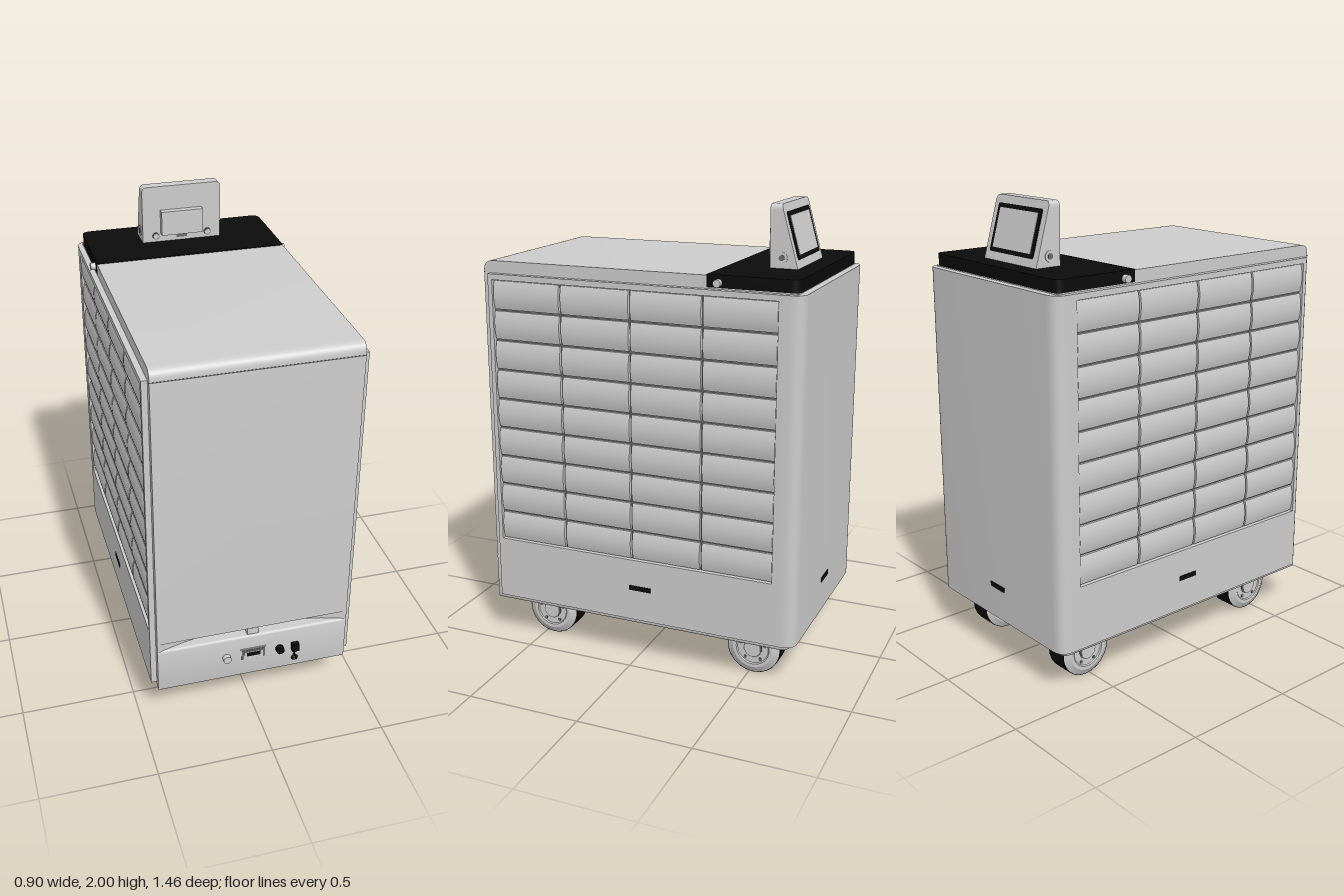
import * as THREE from 'three';
import { toCreasedNormals } from 'three/addons/utils/BufferGeometryUtils.js';

const material = (name, color) => {
  const m = new THREE.MeshStandardMaterial({ color });
  m.name = name;
  return m;
};

// Extrude a shape with smooth curves and sharp corners
function extrude(shape, depth, bevel = 0) {
  const g = new THREE.ExtrudeGeometry(shape, {
    depth: depth - 2 * bevel, curveSegments: 8, bevelEnabled: bevel > 0,
    bevelSize: bevel, bevelThickness: bevel, bevelOffset: -bevel, bevelSegments: 3,
  });
  g.translate(0, 0, bevel);
  return toCreasedNormals(g, 0.6);
}
// Shape drawn in (x, z), raised from y0 to y1
const extrudeY = (shape, y0, y1, bevel) =>
  extrude(shape, y1 - y0, bevel).rotateX(Math.PI / 2).translate(0, y1, 0);
// Shape drawn in (z, y), spanning x0 to x1
const extrudeX = (shape, x0, x1, bevel) =>
  extrude(shape, x1 - x0, bevel).rotateY(-Math.PI / 2).translate(x1, 0, 0);

// Rectangle with a radius for each corner: low-left, low-right, top-right, top-left
function rect(x0, y0, x1, y1, [a, b, c, d] = [0, 0, 0, 0], Type = THREE.Shape) {
  const s = new Type();
  s.moveTo(x0 + a, y0);
  s.lineTo(x1 - b, y0);
  if (b) s.quadraticCurveTo(x1, y0, x1, y0 + b);
  s.lineTo(x1, y1 - c);
  if (c) s.quadraticCurveTo(x1, y1, x1 - c, y1);
  s.lineTo(x0 + d, y1);
  if (d) s.quadraticCurveTo(x0, y1, x0, y1 - d);
  s.lineTo(x0, y0 + a);
  if (a) s.quadraticCurveTo(x0, y0, x0 + a, y0);
  return s;
}

export function createModel() {
  const root = new THREE.Group();
  root.name = 'drawerTrolley';
  const grey = material('light grey', 0xcccccc);
  const dark = material('shadow grey', 0x6a6a6a);
  const black = material('black', 0x0b0b0b);

  const add = (name, geometry, mat, parent = root, pos = [0, 0, 0]) => {
    const m = new THREE.Mesh(geometry, mat);
    m.name = name;
    m.position.set(...pos);
    parent.add(m);
    return m;
  };
  const box = (name, size, pos, mat, parent) =>
    add(name, new THREE.BoxGeometry(...size), mat, parent, pos);
  const disc = (name, r, len, pos, axis, mat, parent) => {
    const g = new THREE.CylinderGeometry(r, r, len, 24);
    if (axis === 'x') g.rotateZ(Math.PI / 2);
    if (axis === 'z') g.rotateX(Math.PI / 2);
    return add(name, g, mat, parent, pos);
  };

  // Cabinet core, stepped down at the back for the black lid
  const core = new THREE.Shape();
  core.moveTo(-0.7, 0.43);
  core.lineTo(0.7, 0.43);
  core.lineTo(0.7, 1.695);
  core.quadraticCurveTo(0.7, 1.738, 0.657, 1.738);
  core.lineTo(-0.32, 1.738);
  core.lineTo(-0.32, 1.69);
  core.lineTo(-0.7, 1.69);
  core.closePath();
  add('cabinet', extrudeX(core, -0.425, 0.425), grey);
  add('rearLid', extrudeY(rect(-0.425, -0.705, 0.425, -0.32, [0.04, 0.04, 0, 0]), 1.69, 1.742), black);
  box('lidSeam', [0.852, 0.004, 0.004], [0, 1.688, 0.6995], dark);

  // Hollow base and the scooped grip above its front
  const base = rect(-0.425, -0.7, 0.425, 0.7, [0.05, 0.05, 0, 0]);
  base.holes.push(rect(-0.4, -0.675, 0.4, 0.675, undefined, THREE.Path));
  add('base', extrudeY(base, 0.17, 0.39, 0.012), grey);
  const grip = new THREE.Shape();
  grip.moveTo(-0.425, -0.69);
  grip.lineTo(0.425, -0.69);
  grip.lineTo(0.425, 0.7);
  grip.quadraticCurveTo(0, 0.56, -0.425, 0.7);
  grip.closePath();
  add('gripRecess', extrudeY(grip, 0.385, 0.431), grey);
  box('gripLatch', [0.05, 0.035, 0.06], [0, 0.403, 0.66], grey);

  // Outer shell: back with wrapped corners
  const shell = new THREE.Shape();
  shell.moveTo(0.45, -0.63);
  shell.lineTo(0.45, -0.67);
  shell.quadraticCurveTo(0.45, -0.73, 0.39, -0.73);
  shell.lineTo(-0.39, -0.73);
  shell.quadraticCurveTo(-0.45, -0.73, -0.45, -0.67);
  shell.lineTo(-0.45, -0.63);
  shell.lineTo(-0.42, -0.63);
  shell.lineTo(-0.42, -0.69);
  shell.lineTo(0.42, -0.69);
  shell.lineTo(0.42, -0.63);
  shell.closePath();
  add('backShell', extrudeY(shell, 0.2, 1.685), grey);
  box('backSlot', [0.1, 0.022, 0.006], [0, 0.35, -0.73], black);

  // One drawer front, gently bulged
  const pitchZ = 0.32, pitchY = 1.18 / 9;
  const bulge = new THREE.Shape();
  bulge.moveTo(0, 0.004);
  bulge.lineTo(0.012, 0.004);
  bulge.quadraticCurveTo(0.032, pitchY / 2, 0.012, pitchY - 0.004);
  bulge.lineTo(0, pitchY - 0.004);
  bulge.closePath();
  const drawer = extrude(bulge, pitchZ - 0.009).translate(0, 0, -(pitchZ - 0.009) / 2);

  for (const s of [1, -1]) {
    const side = new THREE.Group();
    side.name = s > 0 ? 'leftSide' : 'rightSide';
    root.add(side);

    // Side frame around the drawers
    const frame = rect(-0.63, 0.2, 0.67, 1.685);
    frame.holes.push(rect(-0.63 + 0.002, 0.48, 0.65, 1.66, undefined, THREE.Path));
    const x0 = s > 0 ? 0.42 : -0.45;
    add('sideFrame', extrudeX(frame, x0, x0 + 0.03), grey, side);
    box('drawerBacking', [0.006, 1.18, 1.28], [s * 0.425, 1.07, 0.01], dark, side);
    for (let c = 0; c < 4; c++) {
      for (let r = 0; r < 9; r++) {
        const d = add('drawer', drawer, grey, side,
          [s * 0.426, 0.48 + r * pitchY, 0.49 - c * pitchZ]);
        if (s < 0) d.rotation.y = Math.PI;
      }
    }
    // Slot seen on both faces of the wall, lid pin and corner buttons
    box('sideSlot', [0.006, 0.022, 0.1], [s * 0.449, 0.35, -0.03], black, side);
    box('innerSlot', [0.006, 0.03, 0.1], [s * 0.4, 0.33, -0.03], black, side);
    disc('lidPin', 0.016, 0.03, [s * 0.432, 1.71, -0.37], 'x', grey, side);
  }

  // Front controls
  disc('roundButton', 0.018, 0.03, [-0.12, 0.29, 0.705], 'z', grey);
  box('meterBezel', [0.115, 0.06, 0.008], [0, 0.29, 0.7], grey);
  box('meterEdge', [0.105, 0.05, 0.008], [0, 0.29, 0.702], dark);
  box('meterFace', [0.085, 0.038, 0.008], [0, 0.286, 0.704], grey);
  box('meterWindow', [0.06, 0.018, 0.008], [0, 0.292, 0.706], black);
  disc('blackButton', 0.018, 0.034, [0.12, 0.29, 0.706], 'z', black);
  box('socket', [0.032, 0.038, 0.034], [0.19, 0.29, 0.706], black);
  const cord = new THREE.CatmullRomCurve3([[0.19, 0.275, 0.712], [0.185, 0.255, 0.715], [0.19, 0.235, 0.708]]
    .map(p => new THREE.Vector3(...p)));
  add('capCord', new THREE.TubeGeometry(cord, 10, 0.004, 6), black);
  add('cordCap', new THREE.TorusGeometry(0.01, 0.005, 8, 16), black, root, [0.19, 0.225, 0.706]);

  // Tablet stand: wedge with a sloping screen at the back
  const stand = new THREE.Group();
  stand.name = 'tabletStand';
  root.add(stand);
  const wedgeGeo = extrude(rect(-0.18, 1.738, 0.18, 2, [0, 0, 0.025, 0.025]), 1);
  const p = wedgeGeo.attributes.position;
  for (let i = 0; i < p.count; i++) {
    const t = (p.getY(i) - 1.738) / 0.262;
    const back = -0.62 + 0.075 * t;
    const front = -0.5 + 0.003 * t;
    p.setZ(i, p.getZ(i) > 0.5 ? front : back);
  }
  wedgeGeo.computeVertexNormals();
  add('wedge', toCreasedNormals(wedgeGeo, 0.5), grey, stand);
  box('rearBox', [0.19, 0.11, 0.04], [-0.003, 1.835, -0.488], grey, stand);
  box('cableSlot', [0.05, 0.014, 0.006], [0, 1.763, -0.499], dark, stand);
  for (const s of [1, -1]) {
    disc('boltRing', 0.016, 0.008, [s * 0.12, 1.77, -0.498], 'z', dark, stand);
    disc('boltHead', 0.012, 0.012, [s * 0.12, 1.77, -0.498], 'z', grey, stand);
    disc('pivotRing', 0.024, 0.006, [s * 0.18, 1.785, -0.55], 'x', grey, stand);
    disc('pivot', 0.012, 0.01, [s * 0.18, 1.785, -0.55], 'x', dark, stand);
  }
  const screen = new THREE.Group();
  screen.name = 'screen';
  screen.position.set(0, 1.871, -0.583);
  screen.rotation.x = Math.atan2(0.075, 0.262);
  stand.add(screen);
  const r4 = [0.012, 0.012, 0.012, 0.012];
  add('screenBorder', extrude(rect(-0.148, -0.1, 0.148, 0.1, r4), 0.006), black, screen, [0, 0, -0.004]);
  box('screenGlass', [0.26, 0.164, 0.006], [0, 0, -0.003], grey, screen);

  // Casters
  const rim = new THREE.LatheGeometry([[0, 0.018], [0.03, 0.018], [0.035, 0.012], [0.07, 0.012],
    [0.075, 0.016], [0.09, 0.016], [0.117, 0]].map(([r, h]) => new THREE.Vector2(r, h)).reverse(), 32);
  const rimGeo = toCreasedNormals(rim.rotateZ(-Math.PI / 2), 0.4);
  for (const s of [1, -1]) {
    for (const z of [0.46, -0.52]) {
      const caster = new THREE.Group();
      caster.name = 'caster';
      caster.position.set(s * 0.29, 0.12, z);
      root.add(caster);
      disc('tyre', 0.12, 0.1, [0, 0, 0], 'x', black, caster);
      for (const f of [1, -1]) {
        const m = add('rim', rimGeo, grey, caster, [f * 0.05, 0, 0]);
        if (f < 0) m.rotation.y = Math.PI;
        disc('hubRing', 0.042, 0.006, [f * 0.062, 0, 0], 'x', dark, caster);
        disc('hub', 0.036, 0.014, [f * 0.062, 0, 0], 'x', grey, caster);
        for (let i = 0; i < 5; i++) {
          const a = i * Math.PI * 0.4;
          disc('rimBolt', 0.007, 0.006, [f * 0.063, 0.058 * Math.cos(a), 0.058 * Math.sin(a)], 'x', dark, caster);
        }
      }
      disc('axle', 0.016, 0.09, [-s * 0.09, 0, 0], 'x', grey, caster);
      box('stem', [0.05, 0.1, 0.05], [-s * 0.11, 0.06, 0], black, caster);
      box('mountPost', [0.04, 0.17, 0.04], [-s * 0.11, 0.19, 0], grey, caster);
    }
  }
  return root;
}
